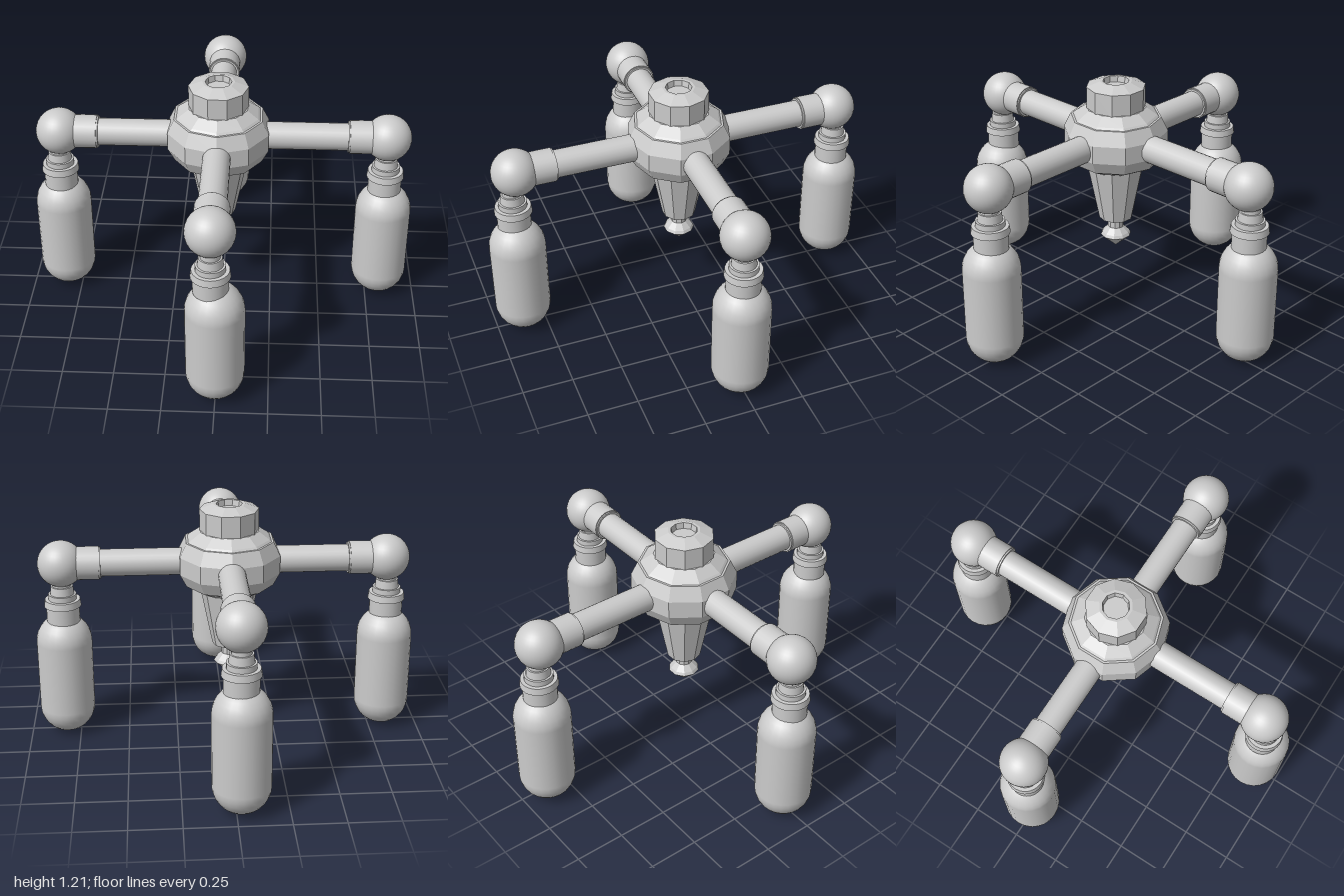
import * as THREE from 'three';

const smooth = new THREE.MeshStandardMaterial({ color: 0xcccccc });
const faceted = new THREE.MeshStandardMaterial({ color: 0xcccccc, flatShading: true });
const HUB_X = -0.022, ARM_Y = 0.916;

function add(parent, name, geometry, material = smooth) {
  const mesh = new THREE.Mesh(geometry, material);
  mesh.name = name;
  parent.add(mesh);
  return mesh;
}

// Ten-sided turned part; profile runs from bottom to top as [radius, y]
function turned(parent, name, profile, turn = 0) {
  const points = profile.map(([r, y]) => new THREE.Vector2(r, y));
  const mesh = add(parent, name, new THREE.LatheGeometry(points, 10), faceted);
  mesh.rotation.y = turn;
  return mesh;
}

// Upright cylinder between two heights
function drum(parent, name, rBottom, rTop, y0, y1) {
  const mesh = add(parent, name, new THREE.CylinderGeometry(rTop, rBottom, y1 - y0, 24));
  mesh.position.y = (y0 + y1) / 2;
  return mesh;
}

function createHub() {
  const hub = new THREE.Group();
  hub.name = 'hub';
  hub.position.x = HUB_X;
  turned(hub, 'hubBody', [
    [0, 0.765], [0.15, 0.765], [0.205, 0.793], [0.215, 0.805], [0.226, 0.805], [0.26, 0.87],
    [0.26, 0.96], [0.226, 1.03], [0.215, 1.03], [0.205, 1.04], [0.15, 1.078], [0, 1.078],
  ]);
  // Cap with a shallow socket in its top
  turned(hub, 'topCap', [
    [0.147, 1.07], [0.147, 1.185], [0.08, 1.21], [0.065, 1.21], [0.06, 1.18], [0, 1.18],
  ], Math.PI / 10);
  turned(hub, 'taperedDrop', [[0, 0.465], [0.085, 0.47], [0.145, 0.77]], Math.PI / 10);
  turned(hub, 'finial', [
    [0, 0.3], [0.078, 0.37], [0.07, 0.385], [0.04, 0.415], [0.04, 0.47],
  ], Math.PI / 10);
  return hub;
}

// Arm built along +z from the hub, then turned into place
function createArm(angle, length, sleeveStart) {
  const arm = new THREE.Group();
  arm.name = 'arm';
  const rod = (name, r, z0, z1) => {
    const mesh = add(arm, name, new THREE.CylinderGeometry(r, r, z1 - z0, 24));
    mesh.rotation.x = Math.PI / 2;
    mesh.position.z = (z0 + z1) / 2;
  };
  rod('tube', 0.068, 0.15, length);
  rod('sleeve', 0.083, sleeveStart, length - 0.05);
  rod('sleeveLip', 0.078, sleeveStart - 0.008, sleeveStart + 0.01);
  const ball = add(arm, 'ballJoint', new THREE.SphereGeometry(0.116, 32, 20));
  ball.position.z = length;
  arm.position.set(HUB_X, ARM_Y, 0);
  arm.rotation.y = angle;
  return arm;
}

// Stepped socket hanging below a ball joint
function createSocket(x, z) {
  const socket = new THREE.Group();
  socket.name = 'lampSocket';
  drum(socket, 'neck', 0.047, 0.047, 0.79, 0.84);
  drum(socket, 'upperStep', 0.06, 0.055, 0.755, 0.8);
  drum(socket, 'middleStep', 0.07, 0.07, 0.73, 0.758);
  drum(socket, 'flange', 0.093, 0.088, 0.695, 0.73);
  drum(socket, 'barrel', 0.083, 0.083, 0.61, 0.698);
  socket.position.set(x, 0, z);
  return socket;
}

function createBulb(x, z) {
  const bulb = new THREE.Mesh(new THREE.CapsuleGeometry(0.14, 0.36, 8, 24), smooth);
  bulb.name = 'bulb';
  bulb.position.set(x, 0.322, z);
  return bulb;
}

export function createModel() {
  const model = new THREE.Group();
  model.name = 'chandelier';
  model.add(createHub());

  const arms = [
    { angle: 0, length: 0.832, sleeve: 0.645, socket: [-0.02, 0.857], bulb: [-0.002, 0.857] },
    { angle: Math.PI / 2, length: 0.835, sleeve: 0.645, socket: [0.813, 0], bulb: [0.815, 0.003] },
    { angle: Math.PI, length: 0.839, sleeve: 0.65, socket: [-0.022, -0.857], bulb: [-0.025, -0.859] },
    { angle: -Math.PI / 2, length: 0.791, sleeve: 0.601, socket: [-0.822, 0], bulb: [-0.82, -0.007] },
  ];
  for (const { angle, length, sleeve, socket, bulb } of arms) {
    model.add(createArm(angle, length, sleeve), createSocket(...socket), createBulb(...bulb));
  }
  return model;
}
